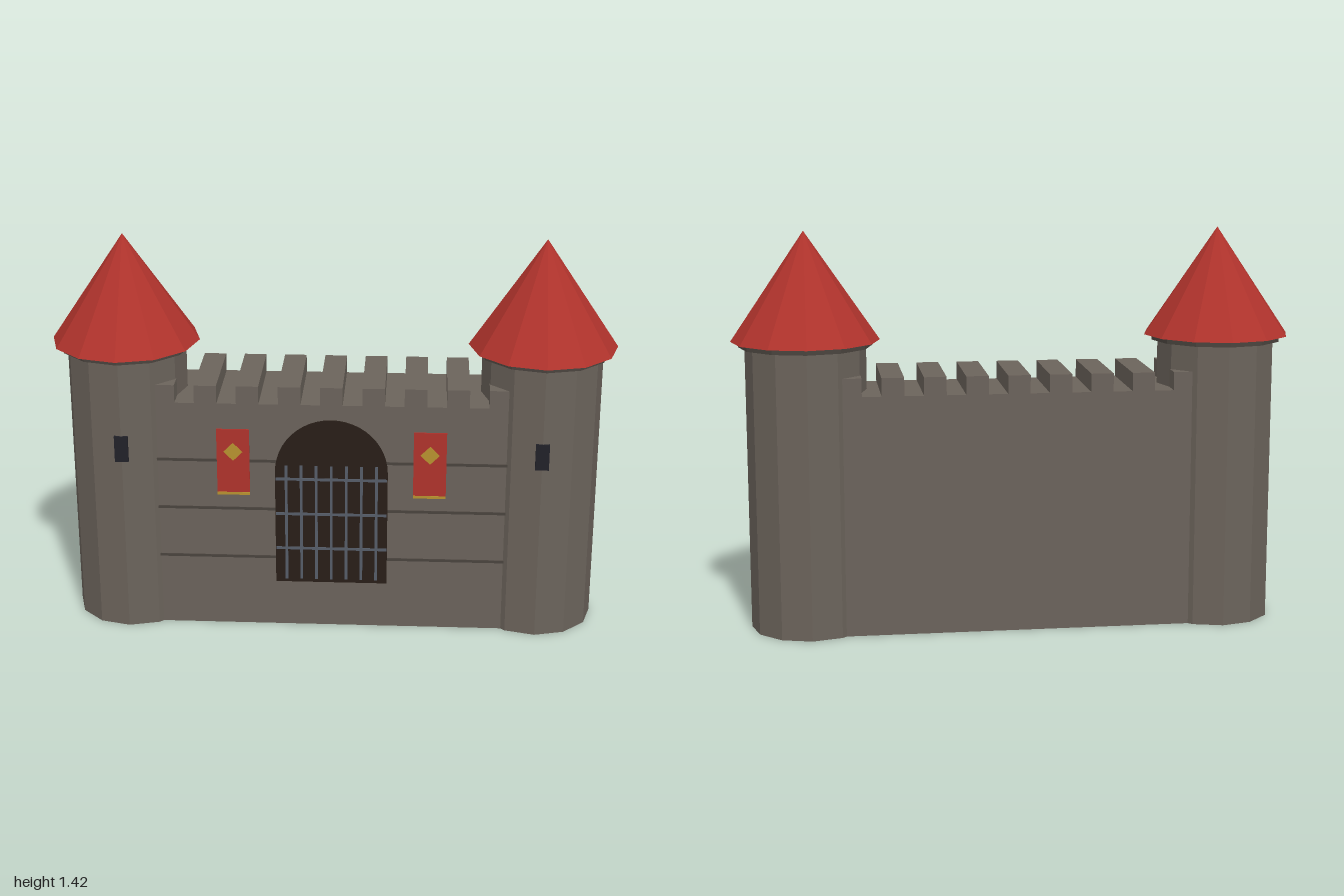
import * as THREE from 'three';

const mat = (color) => new THREE.MeshStandardMaterial({ color, flatShading: true });

export function createModel() {
  const castle = new THREE.Group();
  castle.name = 'castleGate';

  const stone = mat(0x6b635b), darkStone = mat(0x4a443e), red = mat(0xb0332c);
  const gold = mat(0xb8922f), wood = mat(0x281e18), iron = mat(0x555c68), black = mat(0x212128);

  const add = (parent, name, geometry, material, x, y, z) => {
    const mesh = new THREE.Mesh(geometry, material);
    mesh.name = name;
    mesh.position.set(x, y, z);
    parent.add(mesh);
    return mesh;
  };
  const box = (parent, name, w, h, d, material, x, y, z) =>
    add(parent, name, new THREE.BoxGeometry(w, h, d), material, x, y, z);

  const SIDES = 12, TOWER_X = 0.738, FRONT = 0.17;

  // Curtain wall, its ends buried in the towers
  box(castle, 'wall', 1.4, 0.86, FRONT * 2, stone, 0, 0.43, 0);

  // Battlements
  for (let i = -4; i <= 4; i++) {
    box(castle, 'merlon', 0.079, 0.075, FRONT * 2, stone, i * 0.1475, 0.8875, 0);
  }

  // Dark mortar courses on the front
  for (const y of [0.27, 0.46, 0.645]) {
    box(castle, 'mortarCourse', 1.24, 0.01, 0.01, darkStone, 0, y, FRONT - 0.002);
  }

  // Arched gateway
  const arch = new THREE.Shape();
  arch.moveTo(-0.2, 0.175);
  arch.lineTo(0.2, 0.175);
  arch.lineTo(0.2, 0.605);
  arch.absarc(0, 0.605, 0.2, 0, Math.PI, false);
  arch.closePath();
  const archGeometry = new THREE.ExtrudeGeometry(arch, { depth: 0.016, bevelEnabled: false, curveSegments: 12 });
  add(castle, 'gateway', archGeometry, wood, 0, 0, 0.16);

  // Portcullis
  const portcullis = new THREE.Group();
  portcullis.name = 'portcullis';
  castle.add(portcullis);
  for (let i = -3; i <= 3; i++) {
    box(portcullis, 'verticalBar', 0.01, 0.445, 0.008, iron, i * 0.0535, 0.41, 0.174);
  }
  for (const y of [0.31, 0.445, 0.58]) {
    box(portcullis, 'crossBar', 0.396, 0.01, 0.008, iron, 0, y, 0.1745);
  }

  for (const side of [-1, 1]) {
    // Tower with collar, roof and arrow slit
    const tower = new THREE.Group();
    tower.name = side > 0 ? 'leftTower' : 'rightTower';
    tower.position.x = side * TOWER_X;
    castle.add(tower);
    add(tower, 'towerBody', new THREE.CylinderGeometry(0.213, 0.213, 1.02, SIDES), stone, 0, 0.51, 0);
    add(tower, 'collar', new THREE.CylinderGeometry(0.235, 0.235, 0.02, SIDES), darkStone, 0, 1.028, 0);
    add(tower, 'roof', new THREE.ConeGeometry(0.262, 0.385, SIDES), red, 0, 1.23, 0);
    box(tower, 'arrowSlit', 0.048, 0.096, 0.02, black, 0, 0.698, 0.207);

    // Banner with gold hem and diamond
    const banner = new THREE.Group();
    banner.name = side > 0 ? 'leftBanner' : 'rightBanner';
    banner.position.set(side * 0.348, 0, FRONT);
    castle.add(banner);
    box(banner, 'cloth', 0.116, 0.25, 0.01, red, 0, 0.64, 0);
    box(banner, 'hem', 0.116, 0.01, 0.012, gold, 0, 0.52, 0.0005);
    box(banner, 'diamond', 0.048, 0.048, 0.012, gold, 0, 0.68, 0.0005).rotation.z = Math.PI / 4;
  }

  return castle;
}
